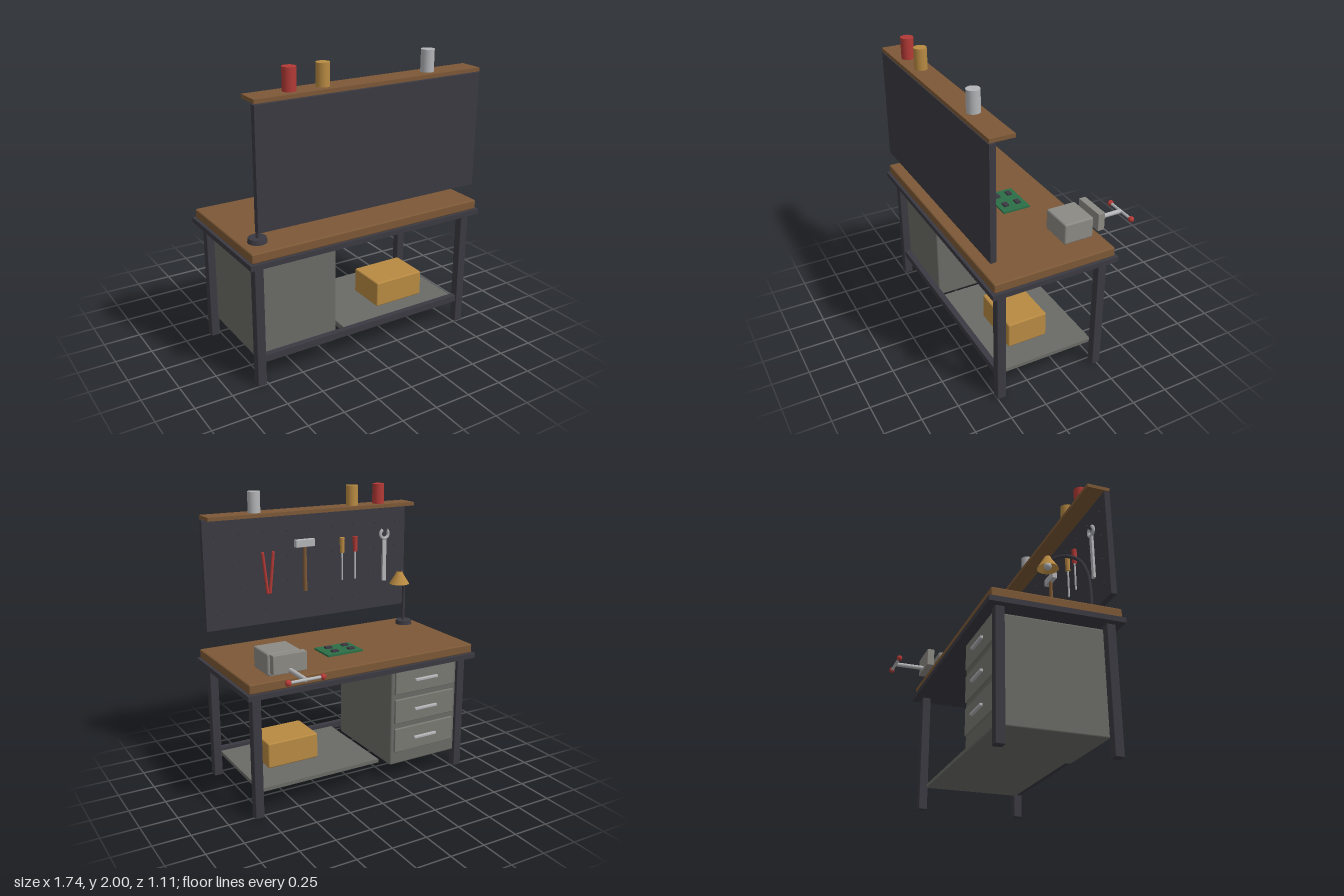
import * as THREE from 'three';
import { RoundedBoxGeometry } from 'three/addons/geometries/RoundedBoxGeometry.js';

const mat = (name, color) => {
  const m = new THREE.MeshStandardMaterial({ color });
  m.name = name;
  return m;
};

export function createModel() {
  const M = {
    dark: mat('dark steel', 0x3b3a42),
    wood: mat('wood', 0x7c5836),
    cabinet: mat('cabinet grey', 0x6a6b66),
    drawer: mat('drawer grey', 0x787972),
    iron: mat('cast iron', 0x8c8a84),
    silver: mat('silver', 0xb4b5b8),
    amber: mat('amber', 0xb88a42),
    red: mat('red', 0xb23a36),
    green: mat('circuit green', 0x2c6e46),
  };
  M.amber.side = THREE.DoubleSide;

  const model = new THREE.Group();
  model.name = 'workbench';
  const group = (name) => {
    const g = new THREE.Group();
    g.name = name;
    model.add(g);
    return g;
  };
  const add = (parent, name, geo, material, x = 0, y = 0, z = 0) => {
    const m = new THREE.Mesh(geo, material);
    m.name = name;
    m.position.set(x, y, z);
    parent.add(m);
    return m;
  };
  // Box given by its low and high corners, optionally rounded
  const box = (parent, name, material, x0, x1, y0, y1, z0, z1, r = 0) => {
    const s = [x1 - x0, y1 - y0, z1 - z0];
    const geo = r ? new RoundedBoxGeometry(...s, 2, r) : new THREE.BoxGeometry(...s);
    return add(parent, name, geo, material, (x0 + x1) / 2, (y0 + y1) / 2, (z0 + z1) / 2);
  };
  const cyl = (parent, name, material, r0, r1, h, x, y, z, n = 20) =>
    add(parent, name, new THREE.CylinderGeometry(r0, r1, h, n), material, x, y, z);

  // Bench top, frame, legs and low shelf
  const bench = group('bench');
  box(bench, 'tableTop', M.wood, -0.852, 0.852, 0.87, 0.935, -0.312, 0.537, 0.01);
  box(bench, 'topFrame', M.dark, -0.868, 0.868, 0.835, 0.87, -0.33, 0.553);
  for (const x of [-0.791, 0.791])
    for (const z of [-0.246, 0.473])
      box(bench, 'leg', M.dark, x - 0.03, x + 0.03, 0, 0.836, z - 0.03, z + 0.03, 0.005);
  box(bench, 'rail', M.dark, -0.765, 0.765, 0.16, 0.205, 0.453, 0.493);
  box(bench, 'lowerShelf', M.cabinet, -0.137, 0.765, 0.155, 0.18, -0.225, 0.455);

  // Drawer cabinet
  const cabinet = group('drawerCabinet');
  box(cabinet, 'cabinetBody', M.cabinet, -0.768, -0.217, 0.122, 0.82, -0.253, 0.45, 0.012);
  for (const y of [0.735, 0.52, 0.305]) {
    box(cabinet, 'drawerFront', M.drawer, -0.74, -0.245, y - 0.088, y + 0.088, -0.268, -0.245, 0.006);
    box(cabinet, 'drawerHandle', M.silver, -0.585, -0.4, y - 0.01, y + 0.01, -0.287, -0.266, 0.005);
  }

  // Storage box on the low shelf
  box(model, 'storageBox', M.amber, 0.212, 0.59, 0.18, 0.36, 0.017, 0.302, 0.01);

  // Pegboard with pegs, and the shelf above it
  const board = group('pegboard');
  box(board, 'panel', M.dark, -0.807, 0.807, 1.06, 1.825, 0.497, 0.537);
  for (let i = 0; i < 9; i++)
    for (let j = 0; j < 4; j++)
      cyl(board, 'peg', M.dark, 0.009, 0.009, 0.01, -0.72 + i * 0.18, 1.17 + j * 0.18, 0.493, 8).rotation.x = Math.PI / 2;
  box(board, 'upperShelf', M.wood, -0.807, 0.807, 1.832, 1.857, 0.375, 0.537);
  for (const [x, m] of [[-0.54, M.red], [-0.317, M.amber], [0.447, M.silver]])
    cyl(board, 'can', m, 0.043, 0.043, 0.143, x, 1.9285, 0.453, 24);

  // Hanging tools
  const tools = group('tools');
  for (const s of [-1, 1]) {
    const grip = add(tools, 'pliersGrip', new THREE.CapsuleGeometry(0.011, 0.285, 4, 10), M.red, 0.34 + s * 0.025, 1.425, 0.482);
    grip.rotation.z = -s * 0.11;
  }
  cyl(tools, 'hammerHandle', M.wood, 0.013, 0.015, 0.33, 0.055, 1.43, 0.478, 12);
  box(tools, 'hammerHead', M.silver, -0.02, 0.13, 1.585, 1.64, 0.46, 0.497, 0.004);
  for (const [x, m] of [[-0.25, M.amber], [-0.36, M.red]]) {
    cyl(tools, 'screwdriverHandle', m, 0.019, 0.016, 0.11, x, 1.57, 0.476, 12);
    cyl(tools, 'screwdriverShaft', M.silver, 0.007, 0.007, 0.21, x, 1.415, 0.476, 8);
  }
  box(tools, 'wrenchShaft', M.silver, -0.632, -0.602, 1.265, 1.59, 0.474, 0.49);
  const ring = add(tools, 'wrenchJaw', new THREE.TorusGeometry(0.034, 0.012, 8, 20, 5.2), M.silver, -0.617, 1.622, 0.481);
  ring.rotation.z = Math.PI / 2 + 0.54;

  // Bench vise with screw and cross handle
  const vise = group('vise');
  box(vise, 'viseBody', M.iron, 0.467, 0.697, 0.945, 1.09, -0.245, -0.035, 0.012);
  box(vise, 'viseFoot', M.iron, 0.487, 0.677, 0.934, 0.955, -0.225, -0.055);
  box(vise, 'viseJaw', M.iron, 0.465, 0.697, 0.975, 1.1, -0.33, -0.28, 0.004);
  cyl(vise, 'viseScrew', M.silver, 0.015, 0.015, 0.273, 0.581, 0.993, -0.4, 16).rotation.x = Math.PI / 2;
  cyl(vise, 'viseHandle', M.silver, 0.01, 0.01, 0.23, 0.581, 0.993, -0.536, 12).rotation.z = Math.PI / 2;
  for (const s of [-1, 1])
    add(vise, 'handleKnob', new THREE.SphereGeometry(0.02, 16, 12), M.red, 0.581 + s * 0.117, 0.993, -0.536);

  // Circuit board with four chips
  const circuit = group('circuitBoard');
  box(circuit, 'boardPlate', M.green, -0.093, 0.177, 0.938, 0.951, -0.08, 0.117);
  for (const x of [-0.03, 0.097])
    for (const z of [-0.025, 0.064])
      box(circuit, 'chip', M.dark, x - 0.023, x + 0.023, 0.95, 0.963, z - 0.017, z + 0.017);

  // Gooseneck lamp
  const lamp = group('deskLamp');
  cyl(lamp, 'lampBase', M.dark, 0.057, 0.062, 0.03, -0.738, 0.95, 0.382, 28);
  const neck = new THREE.CatmullRomCurve3([
    [-0.738, 0.96, 0.388], [-0.738, 1.1, 0.388], [-0.73, 1.22, 0.378], [-0.7, 1.32, 0.343],
    [-0.65, 1.37, 0.283], [-0.6, 1.375, 0.225], [-0.56, 1.355, 0.185],
  ].map((p) => new THREE.Vector3(...p)));
  add(lamp, 'lampNeck', new THREE.TubeGeometry(neck, 40, 0.012, 10), M.dark);
  const shade = [[0.072, 0], [0.064, 0.013], [0.026, 0.075], [0.02, 0.088]].map((p) => new THREE.Vector2(...p));
  add(lamp, 'lampShade', new THREE.LatheGeometry(shade, 28), M.amber, -0.558, 1.308, 0.183);
  add(lamp, 'bulb', new THREE.SphereGeometry(0.026, 16, 12), M.silver, -0.558, 1.326, 0.183);

  return model;
}
